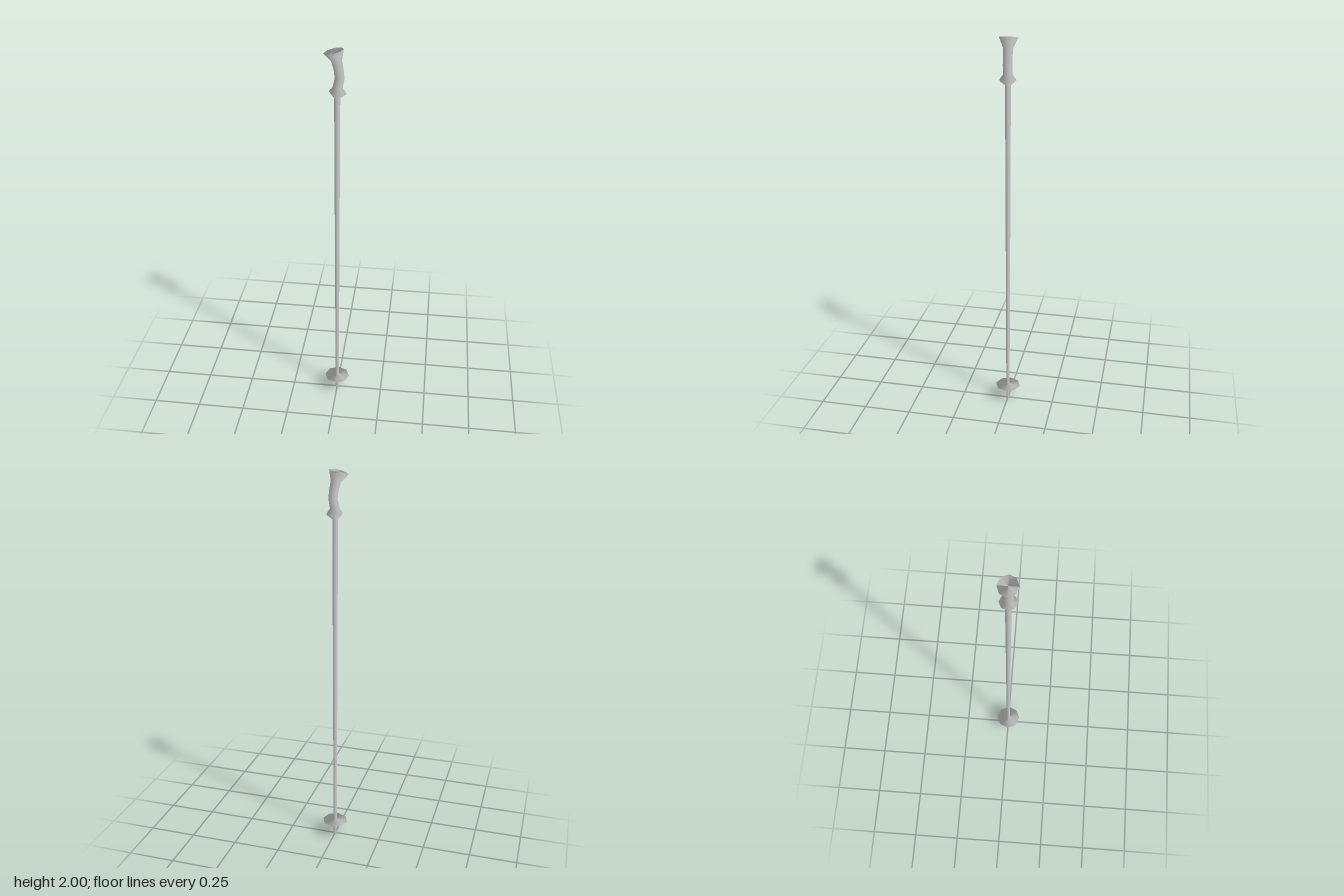
import * as THREE from 'three';

const SIDES = 8;
const material = new THREE.MeshStandardMaterial({ color: 0xcccccc });

// Lofts octagonal rings [centreX, y, radius, tilt] from bottom to top.
// Normals point straight out from the axis, so every part shades softly around it.
function loft(name, rings) {
  const profile = rings.map(([, y, r]) => new THREE.Vector2(r, y));
  const geometry = new THREE.LatheGeometry(profile, SIDES);
  const { position, normal } = geometry.attributes;
  for (let i = 0; i < position.count; i++) {
    const [cx, , , tilt = 0] = rings[i % rings.length];
    const angle = Math.floor(i / rings.length) * 2 * Math.PI / SIDES;
    const x = position.getX(i);
    position.setX(i, x + cx);
    position.setY(i, position.getY(i) + x * tilt);
    normal.setXYZ(i, Math.sin(angle), 0, Math.cos(angle));
  }
  const mesh = new THREE.Mesh(geometry, material);
  mesh.name = name;
  return mesh;
}

export function createModel() {
  const model = new THREE.Group();
  model.name = 'skiPole';

  // One long shaft tapering to the tip
  model.add(loft('shaft', [
    [0, 0, 0], [0, 0, 0.009], [0, 1.78, 0.0145], [0, 1.78, 0],
  ]));

  // Thin basket with a slightly thicker hub
  model.add(loft('basket', [
    [0, 0.078, 0.007], [0, 0.078, 0.03], [0, 0.082, 0.034], [0, 0.082, 0.067],
    [0, 0.085, 0.067], [0, 0.086, 0.03], [0, 0.087, 0.007],
  ]));

  // Curved grip: hand guard, bowed handle and tilted flared top
  model.add(loft('grip', [
    [0, 1.765, 0], [0, 1.765, 0.015],
    [0.003, 1.791, 0.042, -0.12],
    [0.002, 1.816, 0.024, -0.05],
    [0.011, 1.86, 0.023],
    [0.007, 1.9, 0.023, 0.05],
    [-0.003, 1.942, 0.025, 0.12],
    [-0.017, 1.988, 0.047, 0.25],
    [-0.017, 1.988, 0],
  ]));

  return model;
}
